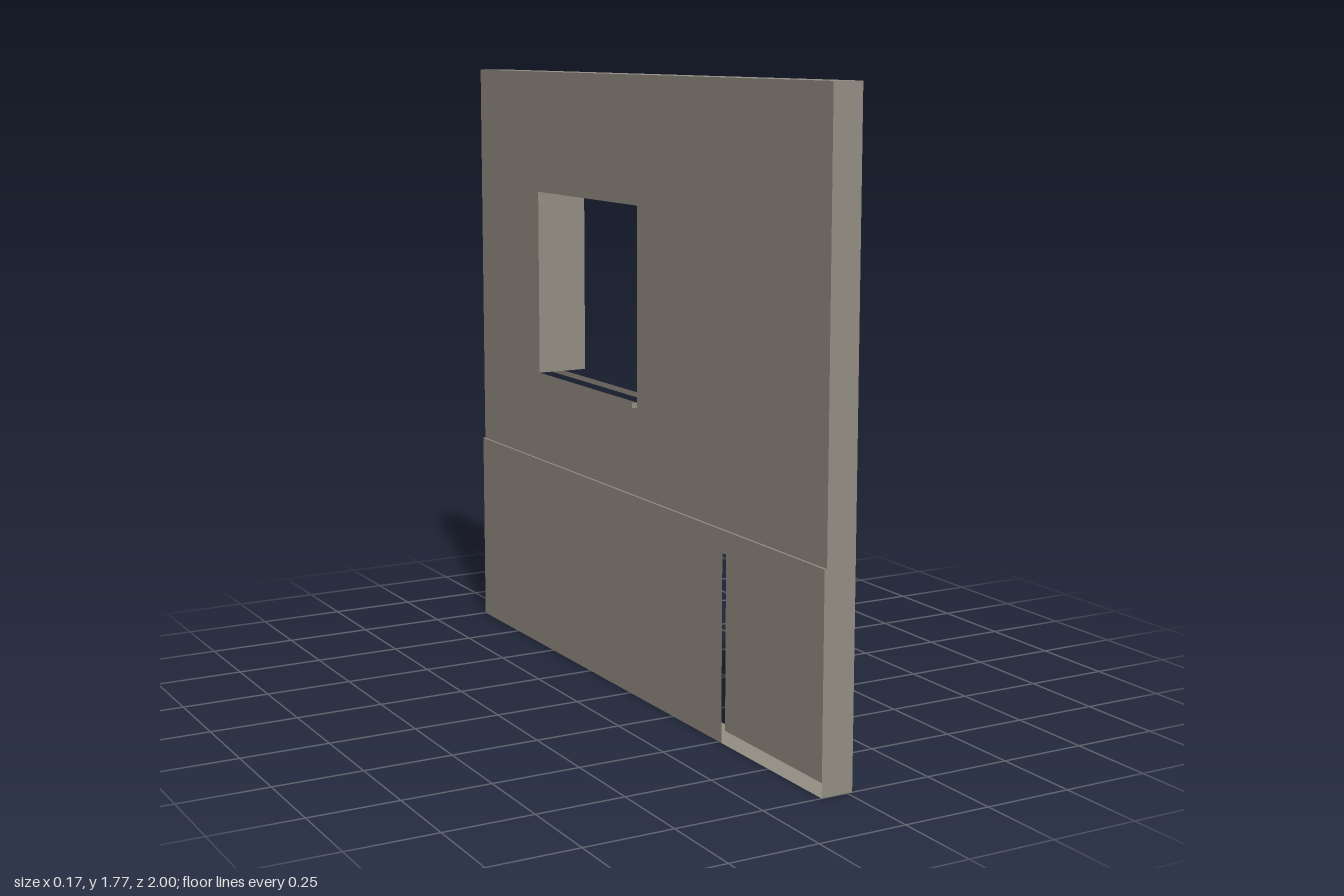
import * as THREE from 'three';

export function createModel() {
  const group = new THREE.Group();
  const plaster = new THREE.MeshStandardMaterial({ color: 0x958f84, side: THREE.DoubleSide });
  plaster.name = 'plasterGrey';

  // Depths (x), heights (y) and lengths (z) shared by several parts
  const inner = 0.015, outer = -0.07, plinth = -0.077;
  const top = 1.775, seam = 0.588;
  const win = { z0: -0.593, z1: 0.03, y0: 0.858, y1: 1.414 };

  const add = (name, geometry, x, y, z) => {
    const mesh = new THREE.Mesh(geometry, plaster);
    mesh.name = name;
    mesh.position.set(x, y, z);
    group.add(mesh);
  };
  const polygon = (points) => points.map(([a, b]) => new THREE.Vector2(a, b));
  const rect = (a0, a1, b0, b1) => polygon([[a0, b0], [a1, b0], [a1, b1], [a0, b1]]);

  // Sheet standing in the z-y plane
  const wall = (name, x, outline, hole) => {
    const shape = new THREE.Shape(outline);
    if (hole) shape.holes.push(new THREE.Path(hole));
    add(name, new THREE.ShapeGeometry(shape).rotateY(-Math.PI / 2), x, 0, 0);
  };
  // Sheet standing in the x-y plane
  const endSheet = (name, z, outline) =>
    add(name, new THREE.ShapeGeometry(new THREE.Shape(outline)), 0, 0, z);
  // Horizontal sheet
  const flat = (name, y, x0, x1, z0, z1) =>
    add(name, new THREE.PlaneGeometry(x1 - x0, z1 - z0).rotateX(-Math.PI / 2),
      (x0 + x1) / 2, y, (z0 + z1) / 2);

  // Upper wall with window opening
  wall('upperWall', outer, rect(-1, 1, seam, top), rect(win.z0, win.z1, win.y0, win.y1));

  // Lower wall, stepped outward, with the narrow slot and raised door leaf
  wall('lowerWall', plinth, polygon([
    [-1, 0], [0.513, 0], [0.513, 0.525], [0.532, 0.525], [0.532, 0.04], [1, 0.04], [1, seam], [-1, seam],
  ]));
  flat('plinthLedge', seam, plinth, outer, -1, 1);

  // Rim around the wall
  flat('topRim', top, outer, inner, -1, 1);
  flat('bottomRim', 0, plinth, inner, -1, 1);
  for (const z of [-1, 1]) {
    endSheet('endRim', z, polygon([
      [plinth, 0], [inner, 0], [inner, top], [outer, top], [outer, seam], [plinth, seam],
    ]));
  }

  // Window sleeve, open at the bottom
  flat('windowHead', win.y1, outer, 0.087, win.z0, win.z1);
  for (const z of [win.z0, win.z1]) {
    endSheet('windowJamb', z, rect(outer, 0.087, win.y0, win.y1));
  }

  // Thin sill strip with its end return
  wall('sillStrip', inner, rect(-1, win.z1, 0.843, win.y0));
  endSheet('sillEnd', win.z1, rect(-0.087, inner, 0.843, win.y0));

  return group;
}
